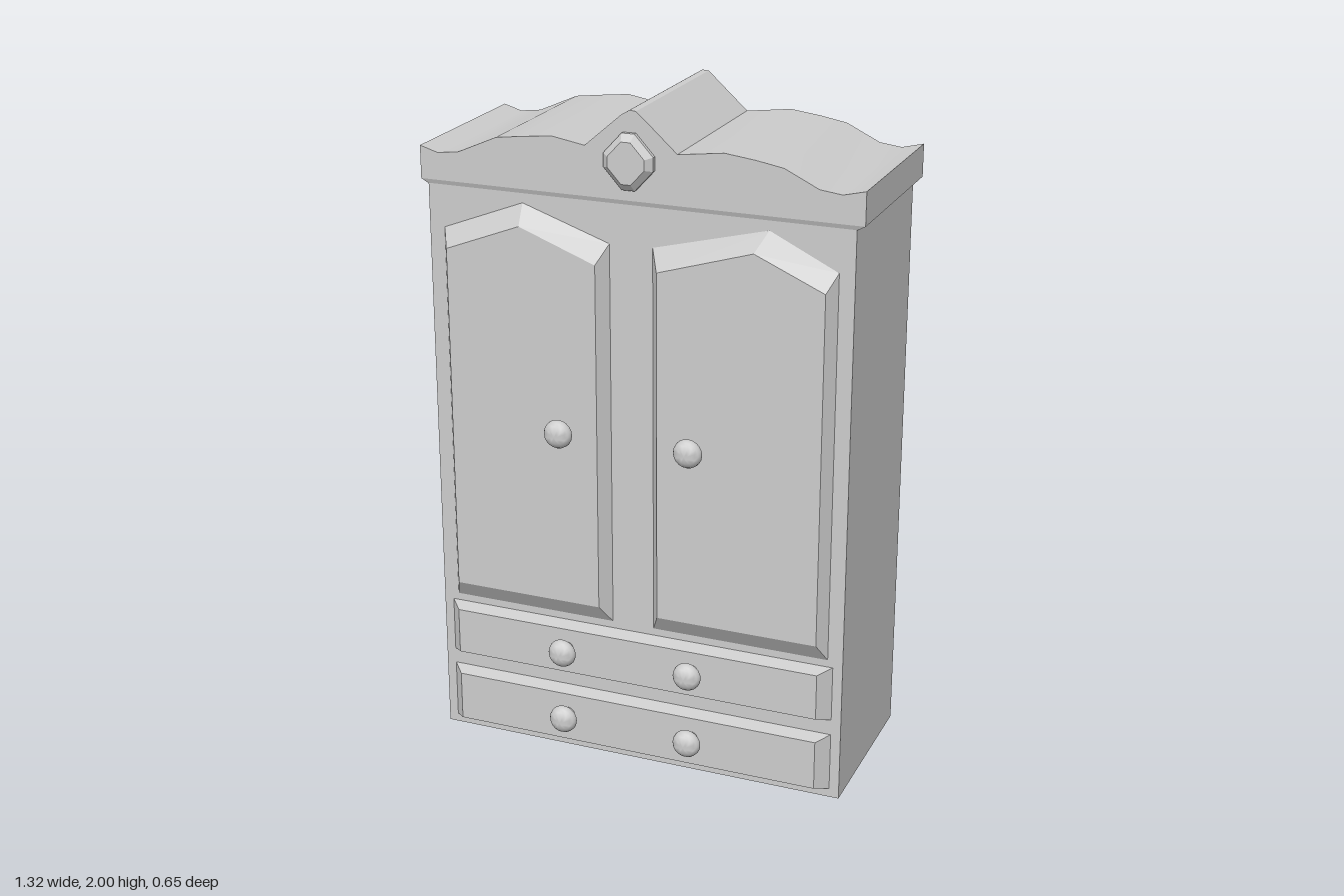
import * as THREE from 'three';
import { toCreasedNormals } from 'three/addons/utils/BufferGeometryUtils.js';

const material = new THREE.MeshStandardMaterial({ color: 0xcccccc });

const FRONT = 0.22, BACK = -0.315, PANEL = 0.26;

// Faceted solid through counter-clockwise convex outlines stacked along z
function loft(rings) {
  const pos = [];
  const at = (r, i) => {
    const [x, y] = r.pts[i % r.pts.length];
    return [x, y, r.z];
  };
  const n = rings[0].pts.length;
  for (let k = 0; k < rings.length - 1; k++) {
    const a = rings[k], b = rings[k + 1];
    for (let i = 0; i < n; i++) {
      pos.push(...at(a, i), ...at(a, i + 1), ...at(b, i + 1));
      pos.push(...at(a, i), ...at(b, i + 1), ...at(b, i));
    }
  }
  const first = rings[0], last = rings[rings.length - 1];
  for (let i = 1; i < n - 1; i++) {
    pos.push(...at(last, 0), ...at(last, i), ...at(last, i + 1));
    pos.push(...at(first, 0), ...at(first, i + 1), ...at(first, i));
  }
  const geo = new THREE.BufferGeometry();
  geo.setAttribute('position', new THREE.Float32BufferAttribute(pos, 3));
  geo.computeVertexNormals();
  return geo;
}

const rect = (x0, x1, y0, y1) => [[x0, y0], [x1, y0], [x1, y1], [x0, y1]];

export function createModel() {
  const model = new THREE.Group();
  model.name = 'wardrobe';
  const add = (name, geo, x = 0, y = 0, z = 0) => {
    const mesh = new THREE.Mesh(geo, material);
    mesh.name = name;
    mesh.position.set(x, y, z);
    model.add(mesh);
    return mesh;
  };

  // Cabinet body
  add('body', new THREE.BoxGeometry(1.275, 1.745, FRONT - BACK), -0.002, 0.8725, (FRONT + BACK) / 2);

  // Small sloped moulding under the crown
  add('crownMoulding', loft([
    { z: 1.733, pts: rect(-0.642, 0.638, -FRONT, -BACK) },
    { z: 1.746, pts: rect(-0.66, 0.66, -0.225, 0.325) },
  ]).rotateX(-Math.PI / 2));

  // Crown with a wavy top edge
  const crest = [
    [0.66, 1.842], [0.595, 1.826], [0.53, 1.834], [0.43, 1.882], [0.35, 1.896], [0.26, 1.907],
    [0.125, 1.89], [0.025, 1.98], [0.004, 1.998], [-0.015, 2], [-0.04, 1.985], [-0.15, 1.89],
    [-0.25, 1.907], [-0.34, 1.897], [-0.42, 1.887], [-0.54, 1.834], [-0.605, 1.826], [-0.66, 1.842],
  ];
  const outline = [[-0.66, 1.746], [0.66, 1.746], ...crest].map(([x, y]) => new THREE.Vector2(x, y));
  const crown = new THREE.ExtrudeGeometry(new THREE.Shape(outline), { depth: 0.55, bevelEnabled: false });
  add('crown', toCreasedNormals(crown, 0.45), 0, 0, -0.325);

  // Cut-corner diamond ornament
  const diamond = (s) => [
    [0.074, -0.02], [0.074, 0.02], [0.019, 0.08], [-0.019, 0.08],
    [-0.074, 0.02], [-0.074, -0.02], [-0.019, -0.08], [0.019, -0.08],
  ].map(([x, y]) => [x * s, y * s]);
  add('crownOrnament', loft([
    { z: 0.22, pts: diamond(1) },
    { z: 0.237, pts: diamond(1) },
    { z: 0.255, pts: diamond(0.74) },
  ]), -0.015, 1.858, 0);

  // Bevelled doors with pointed tops
  add('rightDoor', loft([
    { z: FRONT, pts: [[-0.593, 0.447], [-0.08, 0.447], [-0.08, 1.615], [-0.345, 1.705], [-0.593, 1.608]] },
    { z: PANEL, pts: [[-0.57, 0.505], [-0.108, 0.505], [-0.108, 1.56], [-0.34, 1.647], [-0.57, 1.557]] },
  ]));
  add('leftDoor', loft([
    { z: FRONT, pts: [[0.05, 0.447], [0.59, 0.447], [0.59, 1.608], [0.39, 1.705], [0.05, 1.618]] },
    { z: PANEL, pts: [[0.077, 0.505], [0.566, 0.505], [0.566, 1.557], [0.36, 1.647], [0.077, 1.56]] },
  ]));

  // Bevelled drawer fronts
  for (const [name, y0, y1] of [['upperDrawer', 0.256, 0.425], ['lowerDrawer', 0.027, 0.207]]) {
    add(name, loft([
      { z: FRONT, pts: rect(-0.611, 0.606, y0, y1) },
      { z: PANEL, pts: rect(-0.574, 0.571, y0 + 0.014, y1 - 0.013) },
    ]));
  }

  // Mushroom knobs: neck, flat underside and dome
  const profile = [[0.022, 0], [0.022, 0.03], [0.042, 0.032]];
  for (let i = 0; i <= 6; i++) {
    const a = (i / 6) * Math.PI / 2;
    profile.push([0.043 * Math.cos(a), 0.035 + 0.032 * Math.sin(a)]);
  }
  const lathe = new THREE.LatheGeometry(profile.map(([r, h]) => new THREE.Vector2(Math.max(r, 0), h)), 20);
  const knob = toCreasedNormals(lathe.rotateX(Math.PI / 2), 0.7);
  for (const [part, y] of [['Door', 1.053], ['UpperDrawer', 0.35], ['LowerDrawer', 0.128]]) {
    add(`right${part}Knob`, knob, -0.214, y, 0.258);
    add(`left${part}Knob`, knob, 0.185, y, 0.258);
  }

  return model;
}
